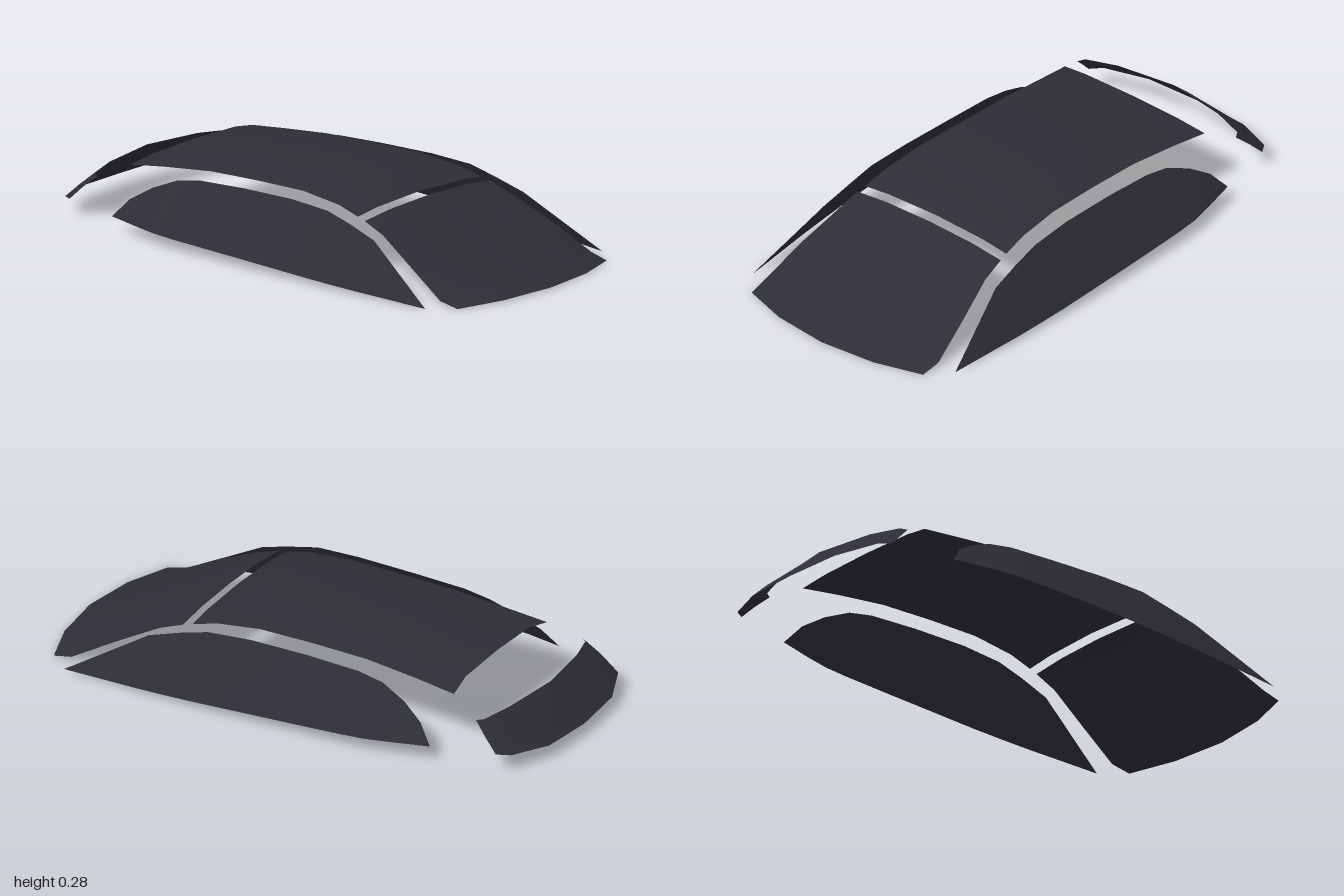
import * as THREE from 'three';

// Skin a surface over rows of [x, y, z] points
function skin(rows) {
  const n = rows[0].length, index = [];
  for (let r = 0; r < rows.length - 1; r++) {
    for (let i = 0; i < n - 1; i++) {
      const a = r * n + i, b = a + 1, c = a + n, d = c + 1;
      index.push(a, b, c, b, d, c);
    }
  }
  const g = new THREE.BufferGeometry();
  g.setAttribute('position', new THREE.Float32BufferAttribute(rows.flat(2), 3));
  g.setIndex(index);
  g.computeVertexNormals();
  return g;
}

// Reverse a row across x = 0
const mirrorRow = (row) => row.map(([x, y, z]) => [-x, y, z]).reverse();
// Extend a row given from the centre line outwards to both sides
const fullRow = (half) => [...mirrorRow(half.slice(1)), ...half];

export function createModel() {
  const group = new THREE.Group();
  const glass = new THREE.MeshStandardMaterial({ color: 0x2d2d35, side: THREE.DoubleSide });
  glass.name = 'dark tinted glass';

  const add = (name, rows) => {
    const mesh = new THREE.Mesh(skin(rows), glass);
    mesh.name = name;
    group.add(mesh);
  };

  // Windscreen, from the lower edge up
  add('windscreen', [
    [[0, 0.01, 1.0], [0.22, 0.008, 0.975], [0.4, 0.004, 0.915]],
    [[0, 0.045, 0.91], [0.22, 0.04, 0.89], [0.405, 0.02, 0.84]],
    [[0, 0.127, 0.72], [0.22, 0.12, 0.71], [0.378, 0.107, 0.68]],
    [[0, 0.21, 0.53], [0.2, 0.203, 0.525], [0.343, 0.186, 0.52]],
    [[0, 0.238, 0.43], [0.2, 0.232, 0.43], [0.335, 0.218, 0.43]],
  ].map(fullRow));

  // Roof panel, front to back
  add('roofPanel', [
    [[0, 0.247, 0.395], [0.22, 0.239, 0.395], [0.33, 0.226, 0.395]],
    [[0, 0.276, 0.3], [0.22, 0.268, 0.3], [0.323, 0.25, 0.3]],
    [[0, 0.288, 0.13], [0.22, 0.281, 0.13], [0.316, 0.267, 0.13]],
    [[0, 0.284, -0.08], [0.22, 0.277, -0.08], [0.312, 0.263, -0.08]],
    [[0, 0.276, -0.3], [0.22, 0.269, -0.3], [0.312, 0.255, -0.3]],
    [[0, 0.257, -0.5], [0.22, 0.25, -0.5], [0.318, 0.234, -0.5]],
    [[0, 0.24, -0.645], [0.22, 0.234, -0.647], [0.326, 0.214, -0.66]],
  ].map(fullRow));

  // Rear window, from the upper edge down
  add('rearWindow', [
    [[0, 0.176, -0.865], [0.235, 0.171, -0.835], [0.355, 0.163, -0.8], [0.37, 0.16, -0.775]],
    [[0, 0.115, -0.935], [0.228, 0.113, -0.913], [0.37, 0.113, -0.86], [0.392, 0.115, -0.825]],
    [[0, 0.043, -1.0], [0.22, 0.048, -0.985], [0.375, 0.06, -0.92], [0.405, 0.065, -0.875]],
  ].map(fullRow));

  // Side windows: z, then top x, y and bottom x, y
  const side = [
    [0.83, 0.475, 0.005, 0.475, 0.005],
    [0.53, 0.4, 0.18, 0.5, 0.017],
    [0.41, 0.39, 0.215, 0.507, 0.022],
    [0.3, 0.384, 0.242, 0.512, 0.027],
    [0.13, 0.376, 0.25, 0.515, 0.035],
    [-0.1, 0.372, 0.245, 0.515, 0.043],
    [-0.3, 0.373, 0.235, 0.512, 0.049],
    [-0.4, 0.376, 0.217, 0.506, 0.052],
    [-0.5, 0.395, 0.175, 0.487, 0.055],
    [-0.58, 0.422, 0.125, 0.468, 0.057],
    [-0.635, 0.453, 0.06, 0.455, 0.058],
  ].map(([z, tx, ty, bx, by]) => [[tx, ty, z], [(tx + bx) / 2, (ty + by) / 2, z], [bx, by, z]]);
  add('leftSideWindow', side);
  add('rightSideWindow', side.map(mirrorRow));

  return group;
}
